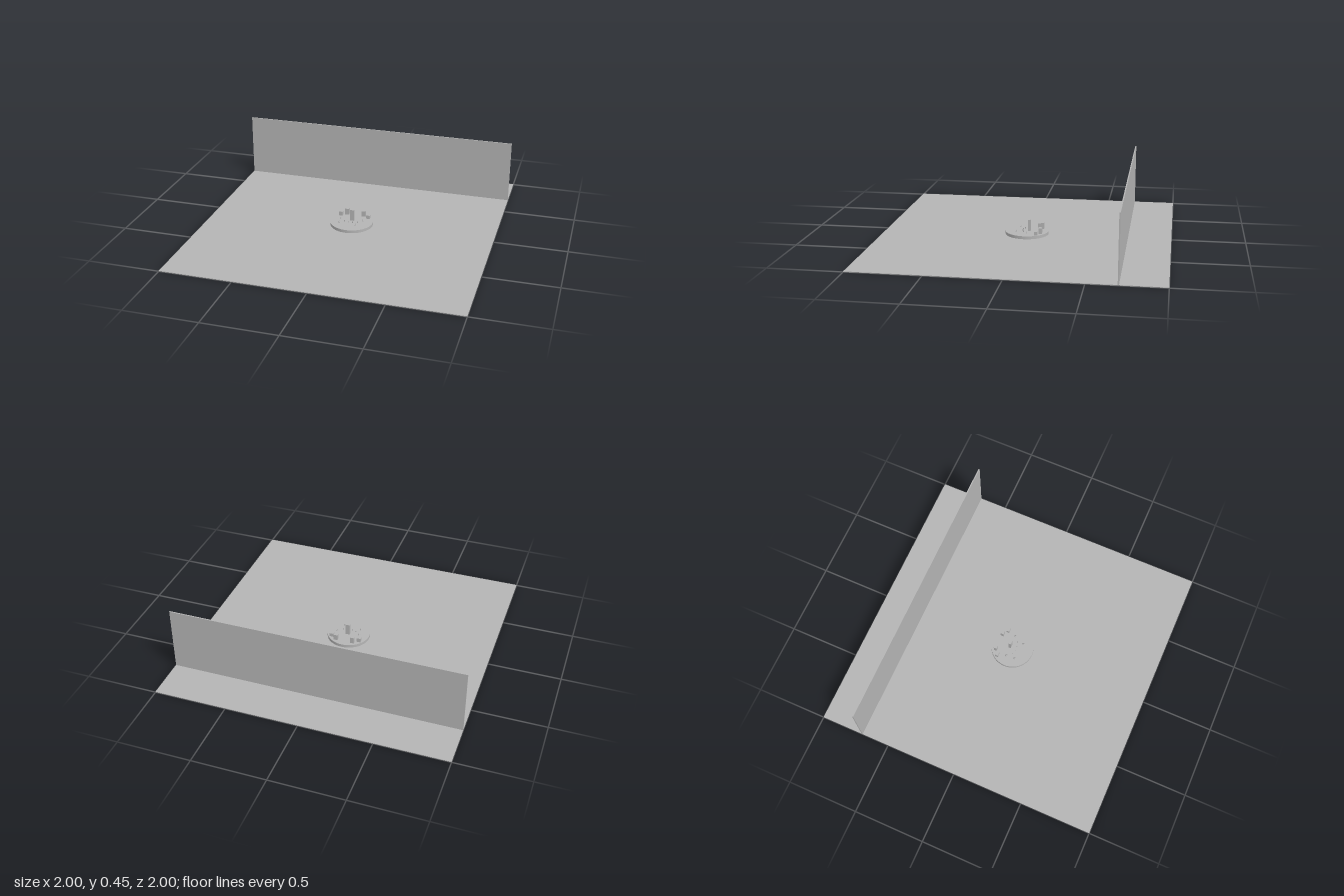
import * as THREE from 'three';

export function createModel() {
  const model = new THREE.Group();
  const grey = new THREE.MeshStandardMaterial({ color: 0xb4b4b4 });
  grey.name = 'plain grey';

  // Adds a named mesh whose base rests at height y
  const add = (name, geometry, x, y, z, parent = model) => {
    geometry.computeBoundingBox();
    const mesh = new THREE.Mesh(geometry, grey);
    mesh.name = name;
    mesh.position.set(x, y - geometry.boundingBox.min.y, z);
    parent.add(mesh);
    return mesh;
  };

  // Ground slab and backdrop wall
  const floor = 0.004;
  add('ground', new THREE.BoxGeometry(2, floor, 2), 0, 0, 0);
  add('backWall', new THREE.BoxGeometry(2, 0.45 - floor, 0.008), 0, floor, -0.7);

  // Round island platform
  const deck = 0.025;
  add('platform', new THREE.CylinderGeometry(0.15, 0.15, deck - floor, 48), 0, floor, 0);

  // Central tower and the arc of blocks behind it: x, z, top height
  add('tower', new THREE.BoxGeometry(0.03, 0.08, 0.018), 0, deck, -0.016);
  const blocks = [
    [-0.1, -0.075, 0.055], [-0.06, -0.102, 0.07],
    [0.06, -0.102, 0.065], [0.1, -0.075, 0.05],
  ];
  for (const [x, z, top] of blocks) {
    add('block', new THREE.BoxGeometry(0.028, top - deck, 0.022), x, deck, z);
  }

  // Small trees: a trunk with a round crown
  for (const [x, z] of [[-0.08, -0.012], [0.08, -0.012], [-0.075, 0.05], [0.05, 0.065]]) {
    const tree = new THREE.Group();
    tree.name = 'tree';
    model.add(tree);
    add('trunk', new THREE.CylinderGeometry(0.003, 0.003, 0.01, 8), x, deck, z, tree);
    add('crown', new THREE.ConeGeometry(0.009, 0.015, 12), x, deck + 0.004, z, tree);
  }

  // Tiny markers in front of the tower
  for (const [x, z] of [[-0.047, 0.018], [-0.017, 0.028], [0.015, 0.028], [0.047, 0.018]]) {
    add('marker', new THREE.CylinderGeometry(0.003, 0.003, 0.012, 8), x, deck, z);
  }
  return model;
}
